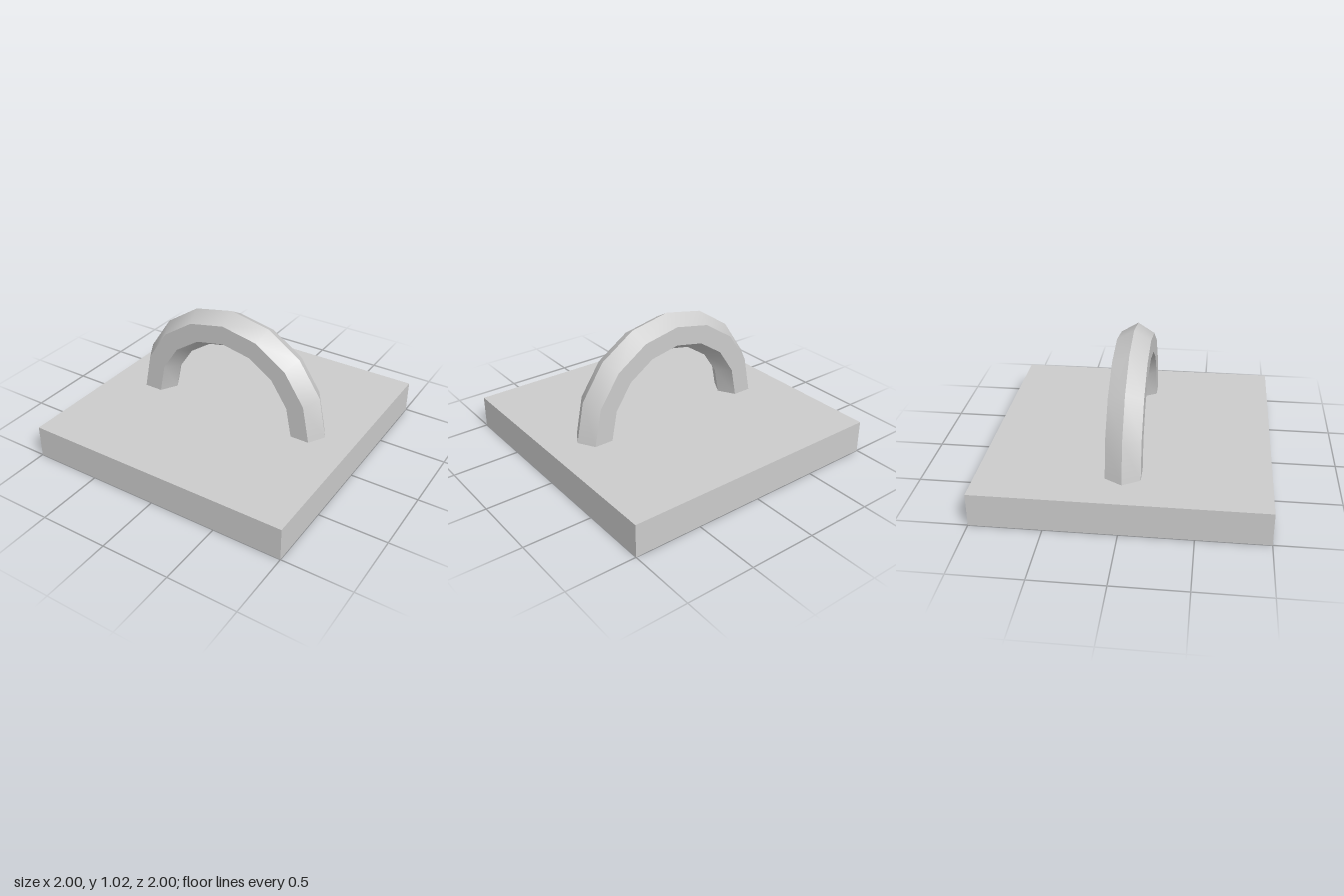
import * as THREE from 'three';
import { toCreasedNormals } from 'three/addons/utils/BufferGeometryUtils.js';

const BASE_HEIGHT = 0.24;

export function createModel() {
  const model = new THREE.Group();
  model.name = 'archOnBase';
  const grey = new THREE.MeshStandardMaterial({ color: 0xcccccc, side: THREE.DoubleSide });
  grey.name = 'light grey';

  // Thin-walled base, open underneath: drop the box's bottom face (group 3)
  const box = new THREE.BoxGeometry(2, BASE_HEIGHT, 2);
  const index = Array.from(box.index.array);
  const bottom = box.groups[3];
  index.splice(bottom.start, bottom.count);
  box.setIndex(index);
  box.clearGroups();
  const base = new THREE.Mesh(box, grey);
  base.name = 'base';
  base.position.y = BASE_HEIGHT / 2;
  model.add(base);

  // Half ring with a hexagonal section, smooth along the arc and sharp along its ridges
  const ring = new THREE.TorusGeometry(0.64, 0.14, 6, 8, Math.PI);
  const arch = new THREE.Mesh(toCreasedNormals(ring, Math.PI / 6), grey);
  arch.name = 'arch';
  arch.position.y = BASE_HEIGHT;
  model.add(arch);

  return model;
}
